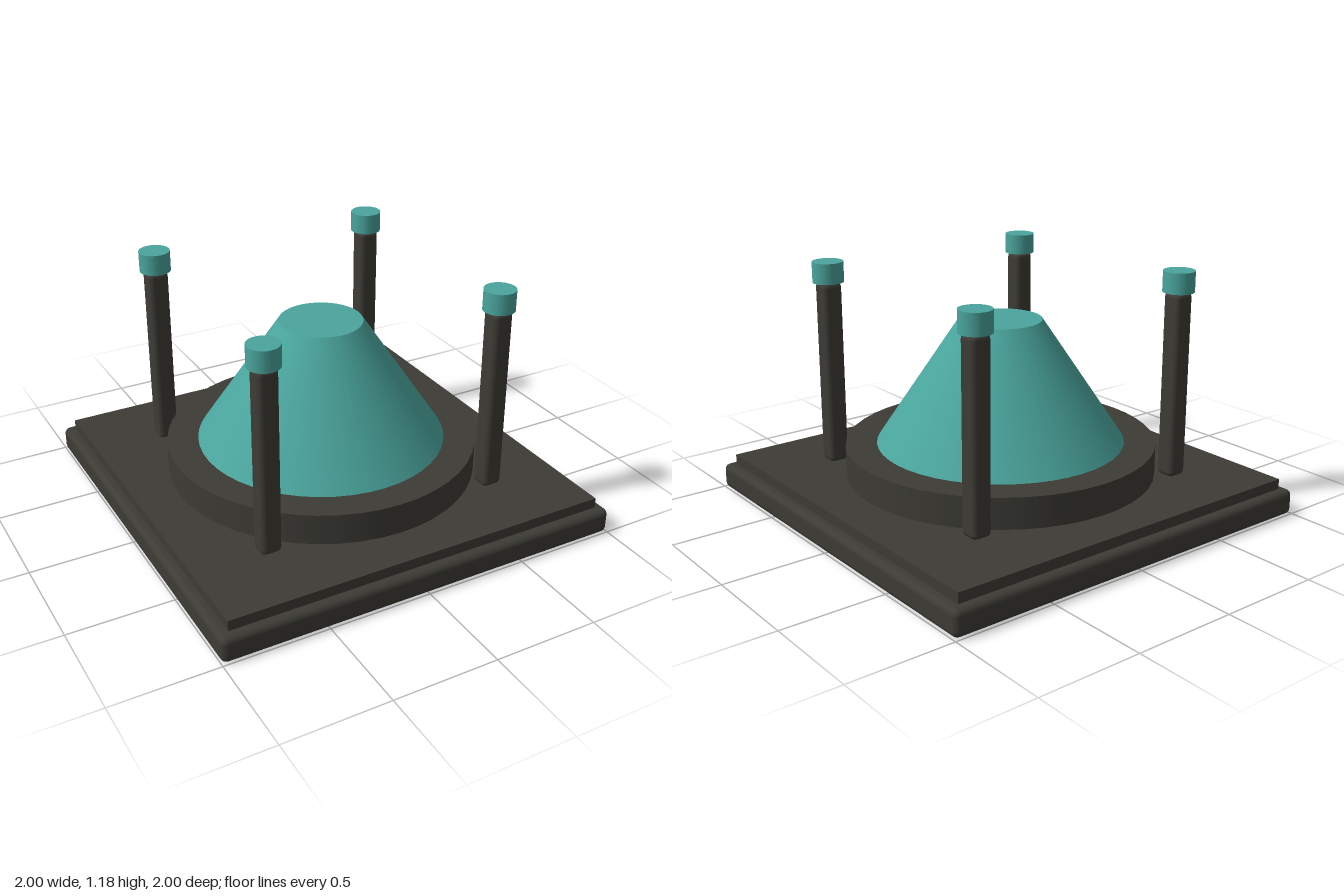
import * as THREE from 'three';
import { RoundedBoxGeometry } from 'three/addons/geometries/RoundedBoxGeometry.js';

export function createModel() {
  const model = new THREE.Group();
  model.name = 'conePedestal';

  const charcoal = new THREE.MeshStandardMaterial({ color: 0x3c3b35 });
  charcoal.name = 'charcoal';
  const teal = new THREE.MeshStandardMaterial({ color: 0x4aa59d });
  teal.name = 'teal';

  // Adds a part resting at the given bottom height
  const add = (name, geometry, material, height, bottom, x = 0, z = 0) => {
    const mesh = new THREE.Mesh(geometry, material);
    mesh.name = name;
    mesh.position.set(x, bottom + height / 2, z);
    model.add(mesh);
  };

  // Stepped square base
  add('baseSlab', new RoundedBoxGeometry(2, 0.125, 2, 3, 0.03), charcoal, 0.125, 0);
  add('upperPlate', new THREE.BoxGeometry(1.9, 0.05, 1.9), charcoal, 0.05, 0.125);

  // Round plinth and truncated cone
  add('plinth', new THREE.CylinderGeometry(0.75, 0.75, 0.15, 48), charcoal, 0.15, 0.175);
  add('cone', new THREE.CylinderGeometry(0.2, 0.6, 0.6, 48), teal, 0.6, 0.325);

  // Corner posts with round caps
  const postGeometry = new RoundedBoxGeometry(0.1, 0.9, 0.1, 3, 0.025);
  const capGeometry = new THREE.CylinderGeometry(0.075, 0.075, 0.1, 24);
  for (const x of [-0.585, 0.585]) {
    for (const z of [-0.585, 0.585]) {
      const place = (z > 0 ? 'front' : 'back') + (x > 0 ? 'Left' : 'Right');
      add(place + 'Post', postGeometry, charcoal, 0.9, 0.18, x, z);
      add(place + 'Cap', capGeometry, teal, 0.1, 1.08, x, z);
    }
  }
  return model;
}
